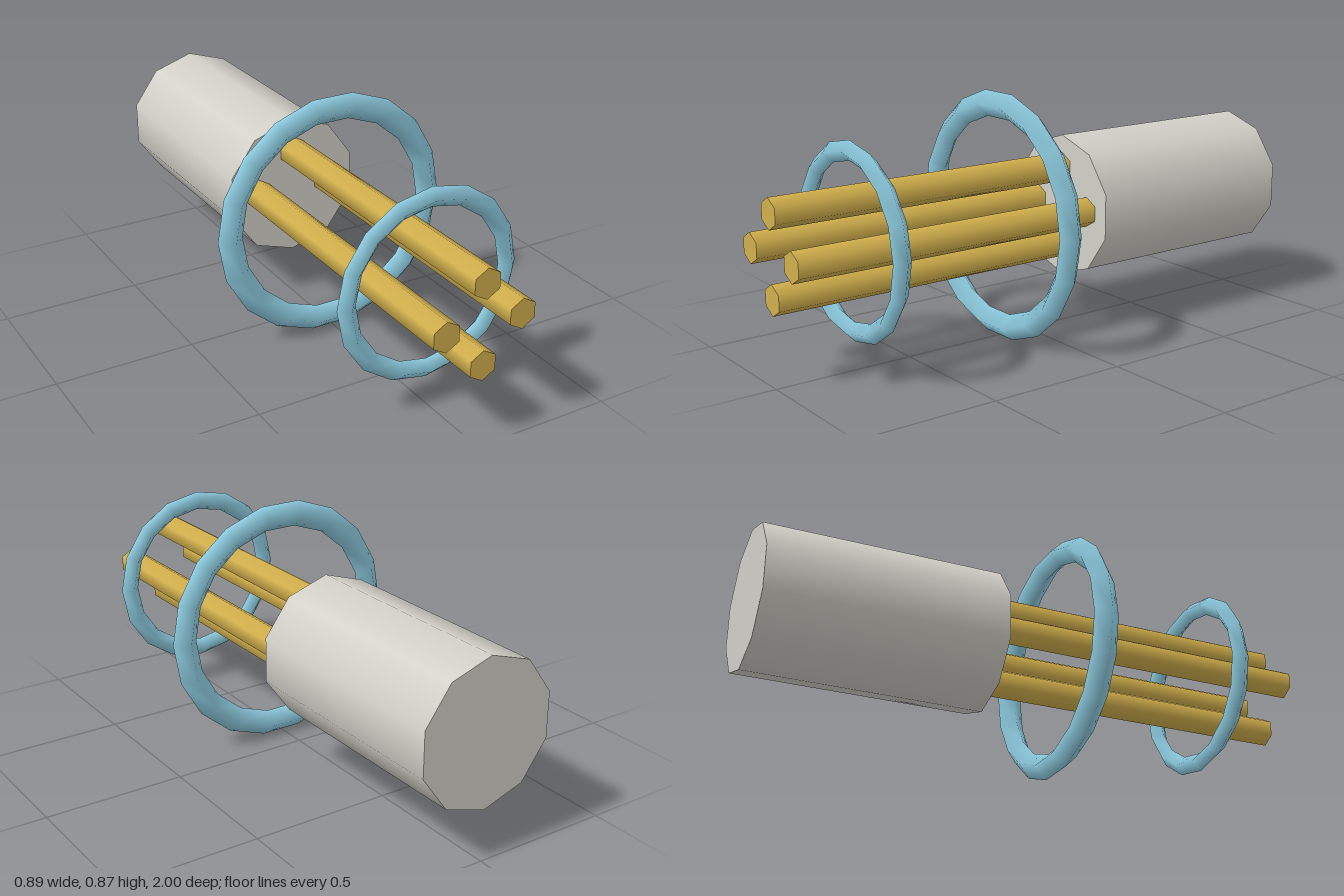
import * as THREE from 'three';

const AXIS_Y = 0.437; // height of the long axis

function material(name, color) {
  const m = new THREE.MeshStandardMaterial({ color });
  m.name = name;
  return m;
}

export function createModel() {
  const grey = material('warm grey', 0xd2d0c8);
  const gold = material('gold', 0xd2b04c);
  const blue = material('light blue', 0x8ccade);

  const model = new THREE.Group();
  model.name = 'ringedRodAssembly';

  function add(name, geometry, mat, x, y, z) {
    const mesh = new THREE.Mesh(geometry, mat);
    mesh.name = name;
    mesh.position.set(x, AXIS_Y + y, z);
    model.add(mesh);
  }

  // prism lying along z, with a corner at the top
  const bar = (radius, length, sides) =>
    new THREE.CylinderGeometry(radius, radius, length, sides).rotateX(Math.PI / 2);

  // ten-sided body at the back
  add('body', bar(0.256, 0.84, 10), grey, 0, 0, -0.58);

  // four hexagonal rods reaching forward
  const rod = bar(0.053, 1.16, 6);
  const offset = 0.14;
  [['topRod', 0, 1], ['bottomRod', 0, -1], ['leftRod', 1, 0], ['rightRod', -1, 0]]
    .forEach(([name, x, y]) => add(name, rod, gold, x * offset, y * offset, 0.42));

  // free-floating rings with a diamond cross-section
  add('largeRing', new THREE.TorusGeometry(0.397, 0.046, 4, 18), blue, 0, 0, 0.12);
  add('smallRing', new THREE.TorusGeometry(0.304, 0.034, 4, 16), blue, 0, 0, 0.707);

  return model;
}
